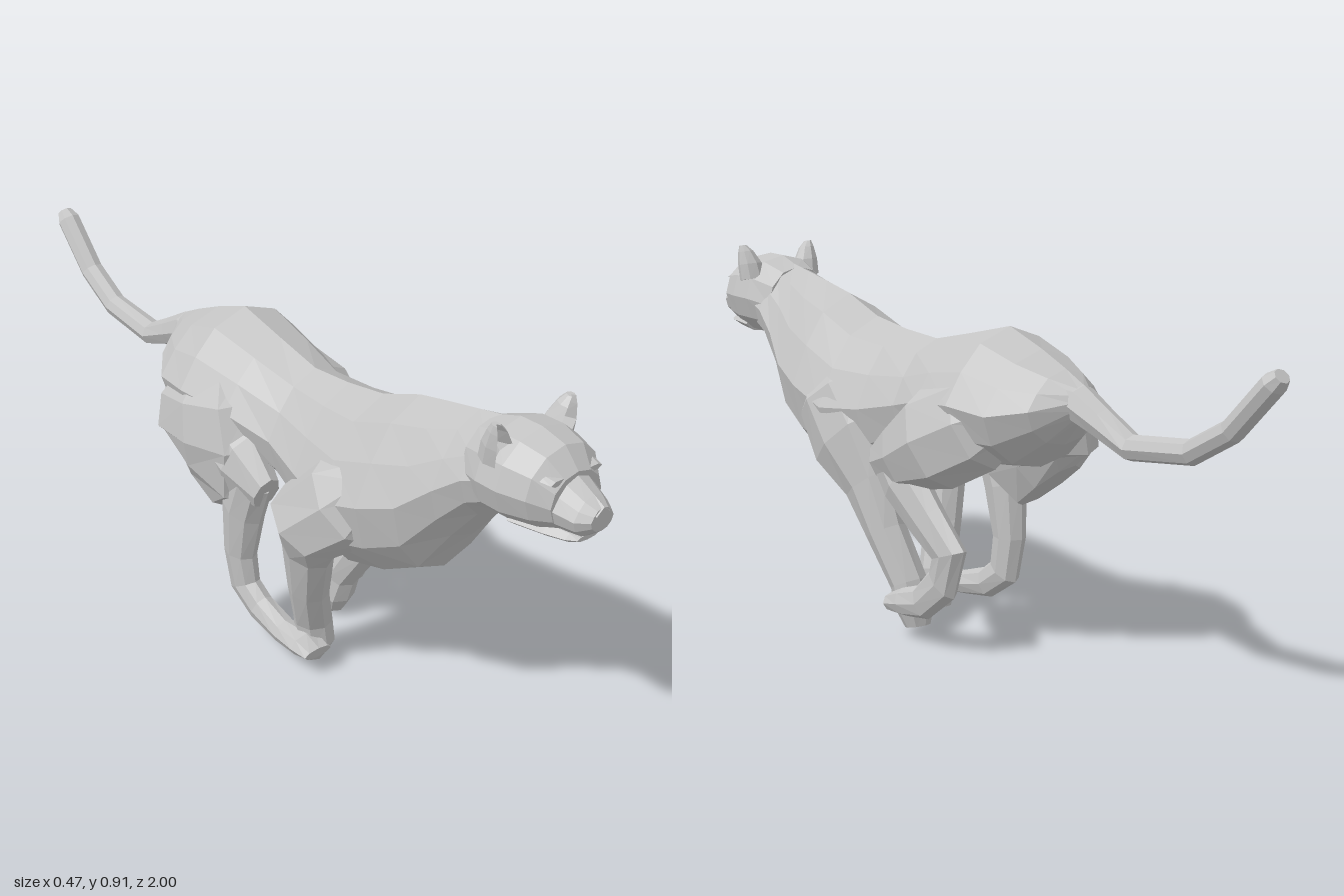
import * as THREE from 'three';

const coat = new THREE.MeshStandardMaterial({ color: 0xc4c4c4, flatShading: true });
coat.name = 'grey coat';

// Skin of elliptical rings along a path; each point is [x, y, z, half width, half depth].
// Rings stay level with x and turn with the path in the y-z plane, or stand upright.
function loft(name, pts, sides, { upright = false, radial = null } = {}) {
  const pos = [], idx = [], n = pts.length;
  pts.forEach(([x, y, z, rx, rv], i) => {
    const a = pts[Math.max(i - 1, 0)], b = pts[Math.min(i + 1, n - 1)];
    let ty = upright ? 0 : b[1] - a[1], tz = upright ? 1 : b[2] - a[2];
    const len = Math.hypot(ty, tz) || 1;
    ty /= len; tz /= len;
    for (let j = 0; j < sides; j++) {
      const t = (j / sides) * Math.PI * 2;
      const k = radial ? radial(j, i) : 1;
      const c = Math.cos(t) * rx * k, s = Math.sin(t) * rv * k;
      pos.push(x + c, y + s * tz, z - s * ty);
    }
  });
  for (let i = 0; i < n - 1; i++) for (let j = 0; j < sides; j++) {
    const a = i * sides + j, b = i * sides + (j + 1) % sides;
    idx.push(a, b, b + sides, a, b + sides, a + sides);
  }
  // End caps
  const first = pos.length / 3, last = first + 1, e = (n - 1) * sides;
  pos.push(...pts[0].slice(0, 3), ...pts[n - 1].slice(0, 3));
  for (let j = 0; j < sides; j++) {
    const k = (j + 1) % sides;
    idx.push(first, k, j, last, e + j, e + k);
  }
  let g = new THREE.BufferGeometry();
  g.setAttribute('position', new THREE.Float32BufferAttribute(pos, 3));
  g.setIndex(idx);
  g = g.toNonIndexed();
  g.computeVertexNormals();
  const m = new THREE.Mesh(g, coat);
  m.name = name;
  return m;
}

// Profile rows [z, top, bottom, half width] to upright path points
const rows = list => list.map(([z, t, b, w]) => [0, (t + b) / 2, z, w, (t - b) / 2]);

// Ring factors: back narrowing towards the spine, and fuller corners for the haunch
const ridged = j => [1, 0.88, 0.93, 1, 0.93, 0.88][j] ?? 1;
const boxy = j => (j % 2 ? 1.1 : 1);

export function createModel() {
  const cat = new THREE.Group();
  cat.name = 'runningCat';
  const add = (...args) => cat.add(loft(...args));

  // Trunk and neck
  add('torso', rows([
    [-0.42, 0.675, 0.60, 0.035], [-0.36, 0.705, 0.53, 0.115], [-0.28, 0.74, 0.465, 0.175],
    [-0.17, 0.78, 0.45, 0.195], [-0.03, 0.748, 0.455, 0.17], [0.10, 0.72, 0.42, 0.138],
    [0.22, 0.73, 0.36, 0.158], [0.34, 0.75, 0.322, 0.186], [0.46, 0.797, 0.355, 0.18],
    [0.56, 0.82, 0.41, 0.158], [0.64, 0.837, 0.53, 0.128], [0.71, 0.852, 0.62, 0.113],
    [0.78, 0.865, 0.66, 0.105],
  ]), 12, { upright: true, radial: ridged });

  // Head: skull, muzzle, nose and jaw
  add('skull', rows([
    [0.69, 0.845, 0.65, 0.095], [0.76, 0.87, 0.655, 0.122], [0.82, 0.872, 0.658, 0.124],
    [0.885, 0.858, 0.67, 0.104], [0.925, 0.815, 0.688, 0.072],
  ]), 12, { upright: true });
  add('muzzle', rows([
    [0.87, 0.835, 0.68, 0.082], [0.925, 0.806, 0.685, 0.067],
    [0.97, 0.783, 0.69, 0.053], [0.997, 0.767, 0.712, 0.032],
  ]), 12, { upright: true, radial: ridged });
  add('nose', rows([[0.95, 0.793, 0.73, 0.03], [1.0, 0.768, 0.735, 0.02]]), 4, { upright: true });
  add('jaw', rows([
    [0.82, 0.71, 0.658, 0.085], [0.90, 0.705, 0.665, 0.066], [0.945, 0.697, 0.669, 0.046],
    [0.965, 0.69, 0.677, 0.03],
  ]), 8, { upright: true });

  // Ears (hollow in front), brows and eyes
  for (const s of [1, -1]) {
    add('ear', [
      [s * 0.085, 0.81, 0.778, 0.036, 0.036], [s * 0.09, 0.85, 0.785, 0.032, 0.033],
      [s * 0.098, 0.883, 0.792, 0.02, 0.022], [s * 0.105, 0.90, 0.795, 0.009, 0.011],
    ], 8, { radial: (j, i) => (j === 6 && i > 0 ? -0.2 : 1) });
    add('brow', [
      [s * 0.055, 0.808, 0.87, 0.032, 0.014], [s * 0.05, 0.804, 0.922, 0.022, 0.007],
    ], 6, { upright: true });
    add('eye', [
      [s * 0.052, 0.783, 0.88, 0.023, 0.012], [s * 0.05, 0.785, 0.924, 0.012, 0.006],
    ], 6, { upright: true });
  }

  // Tail
  add('tail', [
    [0, 0.635, -0.34, 0.07, 0.055], [0, 0.632, -0.41, 0.045, 0.045], [0, 0.60, -0.48, 0.038, 0.036],
    [0, 0.558, -0.575, 0.034, 0.03], [0, 0.577, -0.75, 0.031, 0.029],
    [0, 0.64, -0.86, 0.031, 0.028], [0, 0.752, -0.965, 0.031, 0.028], [0, 0.77, -0.985, 0.02, 0.018],
  ], 8);

  // Left foreleg, swept back
  add('leftForeleg', [
    [0.08, 0.62, 0.44, 0.06, 0.06], [0.105, 0.55, 0.39, 0.083, 0.11], [0.115, 0.45, 0.31, 0.077, 0.125],
    [0.115, 0.35, 0.225, 0.055, 0.078], [0.11, 0.24, 0.165, 0.049, 0.056], [0.095, 0.12, 0.095, 0.047, 0.047],
    [0.088, 0.06, 0.08, 0.05, 0.047], [0.088, 0.015, 0.07, 0.032, 0.032],
  ], 8);

  // Right foreleg, elbow held out
  add('rightForeleg', [
    [-0.08, 0.62, 0.44, 0.06, 0.06], [-0.12, 0.54, 0.37, 0.085, 0.115], [-0.152, 0.44, 0.265, 0.085, 0.105],
    [-0.14, 0.35, 0.25, 0.055, 0.07], [-0.115, 0.22, 0.222, 0.049, 0.052], [-0.082, 0.11, 0.20, 0.05, 0.045],
    [-0.075, 0.05, 0.2, 0.049, 0.047], [-0.077, 0.003, 0.19, 0.032, 0.03],
  ], 8);

  // Left hind leg, folded forward
  add('leftThigh', [
    [0.06, 0.61, -0.27, 0.06, 0.06], [0.105, 0.575, -0.19, 0.09, 0.12], [0.145, 0.52, -0.08, 0.09, 0.125],
    [0.157, 0.465, 0.03, 0.066, 0.088], [0.157, 0.435, 0.12, 0.037, 0.048],
  ], 8);
  add('leftShin', [
    [0.155, 0.46, 0.09, 0.042, 0.06], [0.156, 0.395, 0.03, 0.048, 0.068], [0.156, 0.315, -0.06, 0.038, 0.058],
    [0.155, 0.25, -0.135, 0.031, 0.057], [0.152, 0.175, -0.108, 0.028, 0.05],
    [0.15, 0.11, -0.03, 0.028, 0.043], [0.15, 0.095, 0.04, 0.033, 0.035], [0.15, 0.085, 0.09, 0.03, 0.023],
  ], 8);

  // Right hind leg, reaching under the body
  add('rightThigh', [
    [-0.08, 0.66, -0.16, 0.07, 0.09], [-0.115, 0.59, -0.15, 0.09, 0.155], [-0.13, 0.5, -0.125, 0.092, 0.178],
    [-0.132, 0.43, -0.13, 0.075, 0.165], [-0.13, 0.38, -0.165, 0.045, 0.115],
  ], 8, { radial: boxy });
  add('rightKnee', [
    [-0.12, 0.52, -0.12, 0.075, 0.10], [-0.14, 0.475, 0.0, 0.064, 0.09], [-0.145, 0.435, 0.1, 0.037, 0.048],
  ], 8);
  add('rightShin', [
    [-0.145, 0.46, 0.05, 0.045, 0.06], [-0.142, 0.35, 0.005, 0.044, 0.064], [-0.14, 0.22, -0.012, 0.036, 0.047],
    [-0.135, 0.13, 0.0, 0.032, 0.046], [-0.132, 0.088, 0.06, 0.032, 0.039],
    [-0.132, 0.068, 0.15, 0.034, 0.031], [-0.122, 0.065, 0.22, 0.045, 0.03], [-0.115, 0.055, 0.26, 0.04, 0.016],
  ], 8);

  return cat;
}
